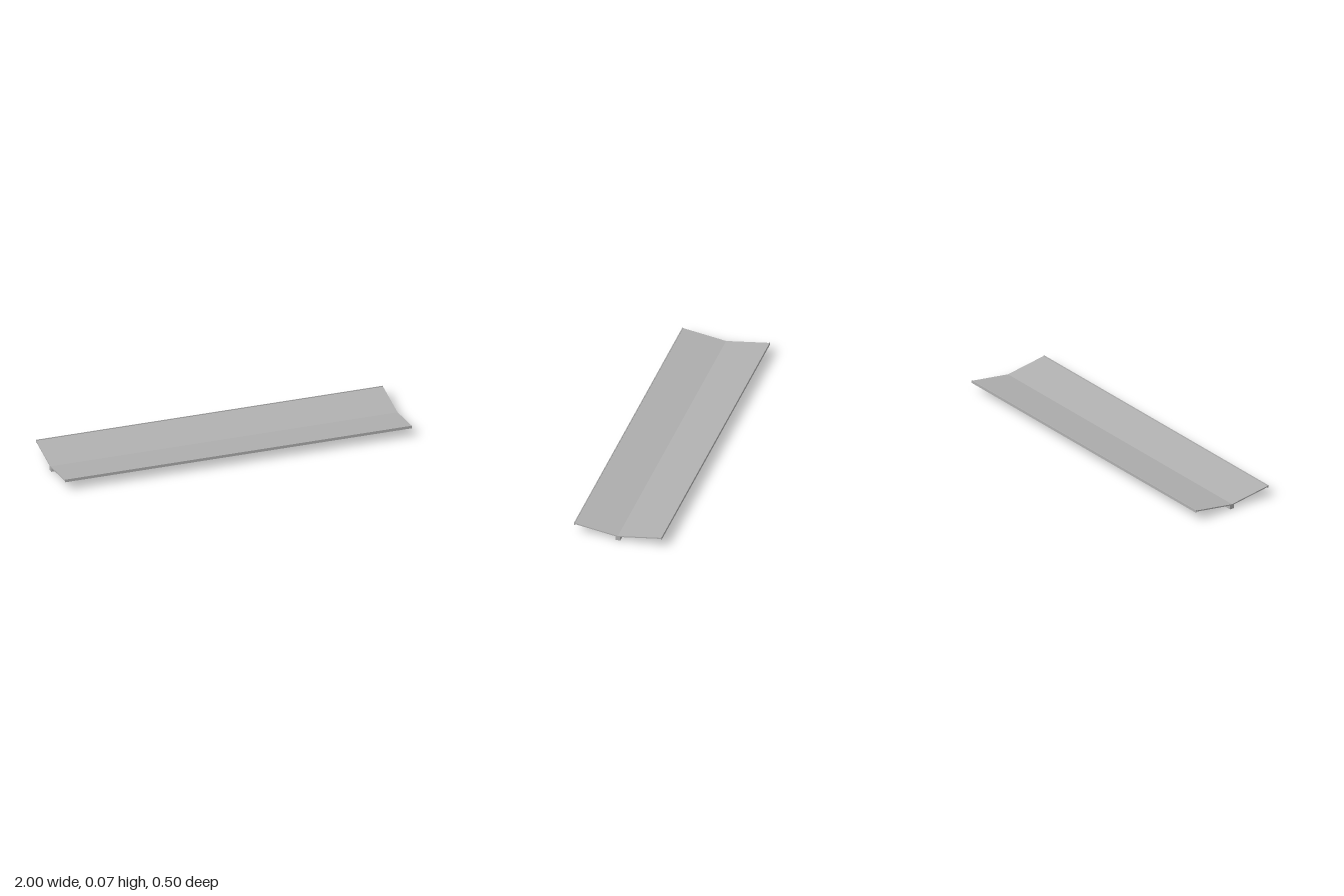
import * as THREE from 'three';

const LENGTH = 2;

export function createModel() {
  const group = new THREE.Group();
  const grey = new THREE.MeshStandardMaterial({ color: 0xb0b0b0 });
  grey.name = 'grey metal';

  // Extrudes a [z, y] cross-section along the full length in x
  const addProfile = (name, points) => {
    const shape = new THREE.Shape(points.map(([z, y]) => new THREE.Vector2(z, y)));
    const geometry = new THREE.ExtrudeGeometry(shape, { depth: LENGTH, bevelEnabled: false });
    geometry.translate(0, 0, -LENGTH / 2);
    geometry.rotateY(-Math.PI / 2);
    const mesh = new THREE.Mesh(geometry, grey);
    mesh.name = name;
    group.add(mesh);
  };

  // Square rail under the valley, with its top meeting the panels
  addProfile('centreRail', [
    [-0.0135, 0], [0.0135, 0], [0.0135, 0.0235], [0, 0.0215], [-0.0135, 0.0235],
  ]);

  // Two sloping panels, each ending in an upright lip
  for (const [side, s] of [['front', 1], ['back', -1]]) {
    addProfile(side + 'Panel', [
      [0, 0.0215], [s * 0.246, 0.0575], [s * 0.246, 0.0645], [0, 0.028],
    ]);
    addProfile(side + 'Lip', [
      [s * 0.2455, 0.052], [s * 0.25, 0.052], [s * 0.25, 0.068], [s * 0.2455, 0.068],
    ]);
  }
  return group;
}
